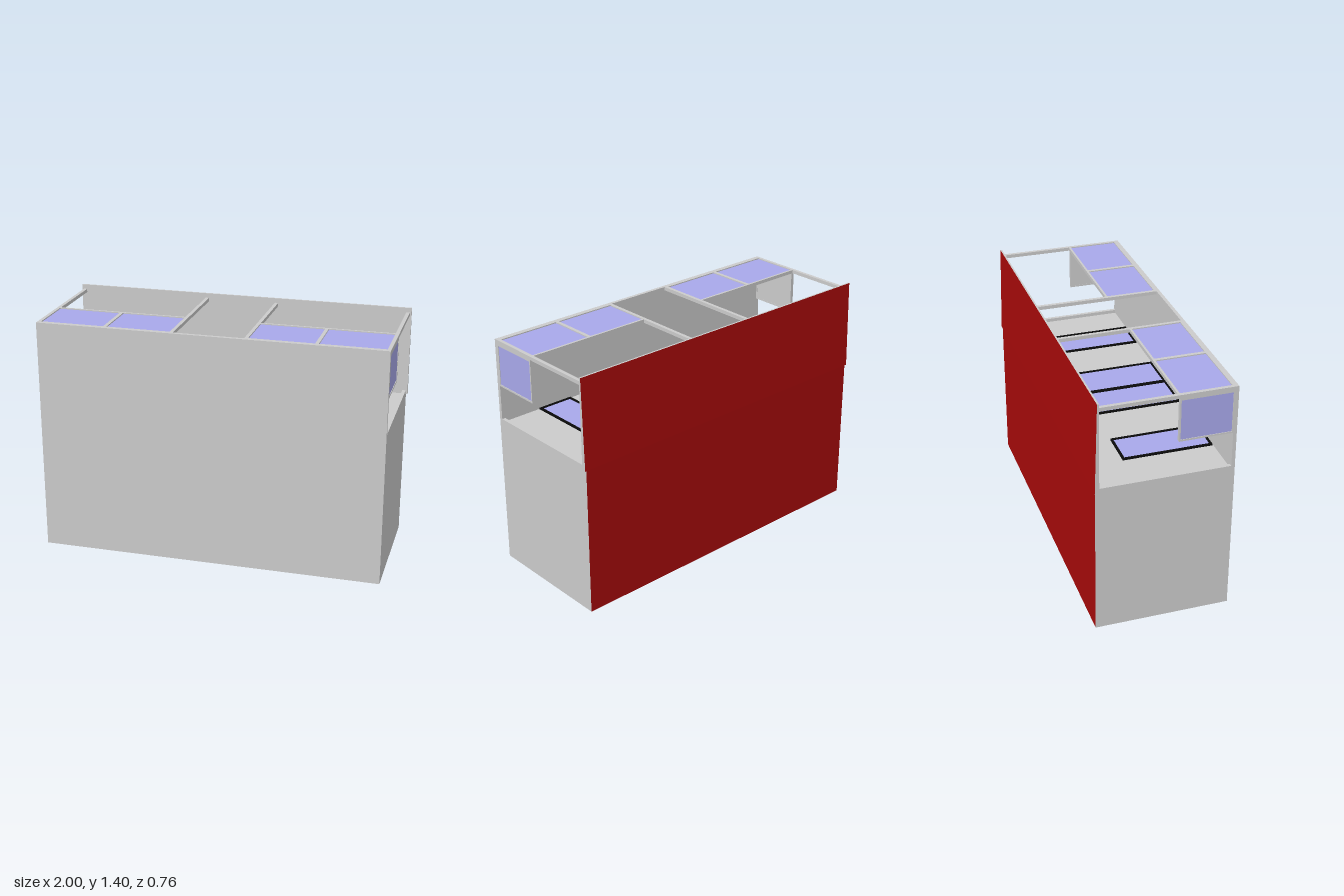
import * as THREE from 'three';

const mat = (color) => new THREE.MeshStandardMaterial({ color });

export function createModel() {
  const grey = mat(0xcccccc), red = mat(0xa80a0a), glass = mat(0xa8a8ea), black = mat(0x0a0a0a);
  const model = new THREE.Group();

  // box given by its min and max corners
  const box = (name, x0, x1, y0, y1, z0, z1, material = grey, parent = model) => {
    const mesh = new THREE.Mesh(new THREE.BoxGeometry(x1 - x0, y1 - y0, z1 - z0), material);
    mesh.position.set((x0 + x1) / 2, (y0 + y1) / 2, (z0 + z1) / 2);
    mesh.name = name;
    parent.add(mesh);
    return mesh;
  };
  // box materials with a red back (-z) face
  const redBack = [grey, grey, grey, grey, grey, red];

  // horizontal pane inside a four-sided black frame
  const framedWindow = (name, x0, x1, z0, z1, y0, y1, yg0, yg1) => {
    const g = new THREE.Group(), t = 0.012;
    g.name = name;
    box('frameSide', x0, x0 + t, y0, y1, z0, z1, black, g);
    box('frameSide', x1 - t, x1, y0, y1, z0, z1, black, g);
    box('frameEnd', x0 + t, x1 - t, y0, y1, z0, z0 + t, black, g);
    box('frameEnd', x0 + t, x1 - t, y0, y1, z1 - t, z1, black, g);
    box('pane', x0 + t, x1 - t, yg0, yg1, z0 + t, z1 - t, glass, g);
    model.add(g);
  };

  // shell: floor, walls and the raised deck
  box('floor', -0.97, 0.97, 0.01, 0.03, -0.36, 0.36);
  box('deck', -0.97, 0.97, 0.86, 0.88, -0.36, 0.36);
  box('frontWall', -0.99, 0.99, 0.01, 1.37, 0.36, 0.38);
  box('backWall', -0.99, 0.99, 0.01, 0.9, -0.38, -0.36, redBack);
  for (const s of [-1, 1]) {
    const x = s * 0.98;
    box('sideWall', x - 0.01, x + 0.01, 0.01, 0.9, -0.36, 0.36);
  }

  // upper back panel, thicker towards the bottom
  const panel = box('upperBackPanel', -1, 1, 0.878, 1.397, -0.384, -0.36, redBack);
  const p = panel.geometry.attributes.position;
  for (let i = 0; i < p.count; i++) {
    if (p.getY(i) > 0 && p.getZ(i) < 0) p.setZ(i, 0.002);
  }
  panel.geometry.computeVertexNormals();

  // roof beams from front to back
  for (const x of [-0.98, -0.21, 0.21, 0.98]) {
    box('roofBeam', x - 0.01, x + 0.01, 1.35, 1.37, -0.36, 0.36);
  }

  for (const s of [-1, 1]) {
    // roof glazing: two panes with a rail behind and a bar between
    const c = s * 0.595;
    box('roofRail', c - 0.375, c + 0.375, 1.35, 1.37, 0.057, 0.069);
    box('roofDivider', c - 0.01, c + 0.01, 1.35, 1.37, 0.069, 0.36);
    box('roofFrontRail', c - 0.375, c + 0.375, 1.35, 1.37, 0.35, 0.36);
    for (const d of [-1, 1]) {
      const m = c + d * 0.1925;
      box('roofPane', m - 0.1825, m + 0.1825, 1.353, 1.364, 0.069, 0.35, glass);
    }

    // end window under the roof: pane outside, plain backing inside
    const e = s * 0.98;
    box('endWindowSill', e - 0.01, e + 0.01, 1.1, 1.11, 0.065, 0.36);
    box('endWindowPost', e - 0.01, e + 0.01, 1.11, 1.35, 0.065, 0.073);
    box('endWindowPost', e - 0.01, e + 0.01, 1.11, 1.35, 0.352, 0.36);
    box('endWindowHead', e - 0.01, e + 0.01, 1.338, 1.35, 0.073, 0.352);
    const o = s * 0.984, b = s * 0.975;
    box('endPane', o - 0.003, o + 0.003, 1.11, 1.338, 0.073, 0.352, glass);
    box('endBacking', b - 0.004, b + 0.004, 1.11, 1.338, 0.073, 0.352);

    // windows in the deck and under the floor
    const w = s * 0.633, m = s * 0.123, f = s * 0.73;
    framedWindow('deckWindow', w - 0.108, w + 0.108, -0.15, 0.355, 0.88, 0.89, 0.88, 0.884);
    framedWindow('deckCentreWindow', m - 0.123, m + 0.123, -0.15, 0.355, 0.88, 0.89, 0.88, 0.884);
    framedWindow('floorWindow', f - 0.06, f + 0.06, -0.17, 0.11, 0, 0.01, 0.004, 0.01);
  }
  framedWindow('floorCentreWindow', -0.15, 0.15, -0.17, 0.11, 0, 0.01, 0.004, 0.01);

  return model;
}
